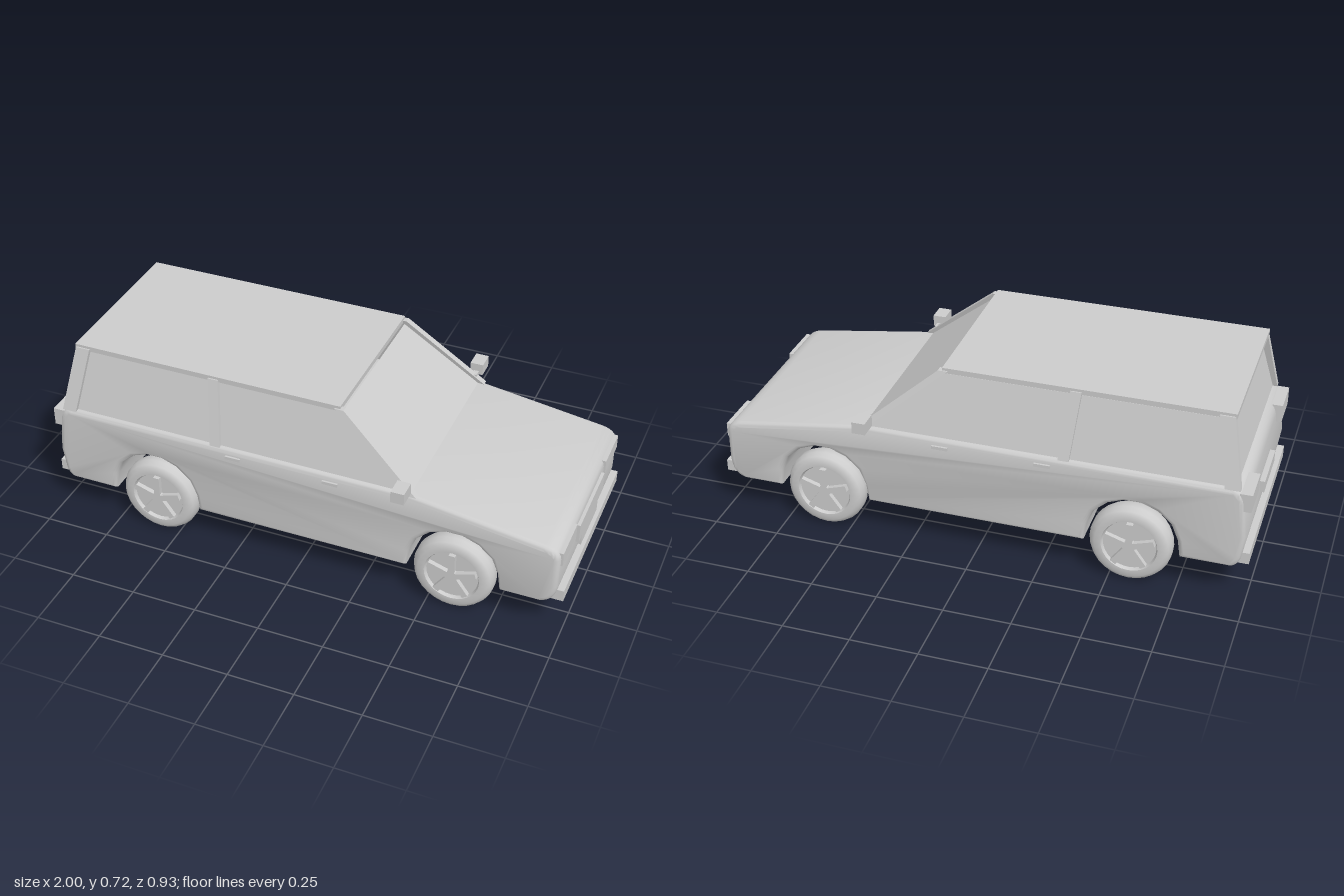
import * as THREE from 'three';
import { toCreasedNormals } from 'three/addons/utils/BufferGeometryUtils.js';

const grey = new THREE.MeshStandardMaterial({ color: 0xcccccc });
grey.name = 'light grey';
grey.side = THREE.DoubleSide;

function add(parent, name, geometry) {
  const mesh = new THREE.Mesh(geometry, grey);
  mesh.name = name;
  parent.add(mesh);
  return mesh;
}

// Box given by its min and max on each axis
function block(parent, name, [x0, x1], [y0, y1], [z0, z1]) {
  const mesh = add(parent, name, new THREE.BoxGeometry(x1 - x0, y1 - y0, z1 - z0));
  mesh.position.set((x0 + x1) / 2, (y0 + y1) / 2, (z0 + z1) / 2);
  return mesh;
}

// Sheared post from a lower to an upper point, with level ends
function pillar(parent, name, low, high, w, d) {
  const g = new THREE.BoxGeometry(w, 1, d);
  const p = g.attributes.position;
  for (let i = 0; i < p.count; i++) {
    const end = p.getY(i) > 0 ? high : low;
    p.setXYZ(i, p.getX(i) + end[0], end[1], p.getZ(i) + end[2]);
  }
  g.computeVertexNormals();
  return add(parent, name, g);
}

// Side profile with wheel arches, extruded across the width
function bodyGeometry() {
  const s = new THREE.Shape();
  const arch = (cx) => {
    for (const [x, y] of [[0.175, 0.14], [0.165, 0.21], [0.14, 0.27], [0.09, 0.315], [0.03, 0.338],
      [-0.03, 0.338], [-0.09, 0.315], [-0.14, 0.27], [-0.165, 0.21], [-0.175, 0.14]]) s.lineTo(cx + x, y);
  };
  s.moveTo(-0.94, 0.14);
  s.quadraticCurveTo(-0.97, 0.15, -0.975, 0.2);
  s.lineTo(-0.985, 0.27);
  s.lineTo(-0.972, 0.41);
  s.quadraticCurveTo(-0.965, 0.46, -0.92, 0.464);
  s.lineTo(0.43, 0.462);
  s.lineTo(0.92, 0.39);
  s.quadraticCurveTo(0.975, 0.38, 0.978, 0.34);
  s.lineTo(0.978, 0.22);
  s.quadraticCurveTo(0.972, 0.15, 0.92, 0.14);
  arch(0.595);
  arch(-0.58);
  s.closePath();
  const bevel = 0.02;
  const g = new THREE.ExtrudeGeometry(s, {
    depth: 0.78 - 2 * bevel, bevelThickness: bevel, bevelSize: bevel, bevelOffset: -bevel,
    bevelSegments: 4, curveSegments: 6,
  });
  g.translate(0, 0, -0.39 + bevel);
  return toCreasedNormals(g, 0.6);
}

// Four sloping panes between two rectangles
function glassGeometry() {
  const ring = (x0, x1, y, z) => [[x0, y, z], [x1, y, z], [x1, y, -z], [x0, y, -z]];
  const low = ring(-0.935, 0.43, 0.46, 0.372);
  const high = ring(-0.88, 0.145, 0.695, 0.313);
  const v = [];
  for (let i = 0; i < 4; i++) {
    const j = (i + 1) % 4;
    v.push(...low[i], ...low[j], ...high[j], ...low[i], ...high[j], ...high[i]);
  }
  const g = new THREE.BufferGeometry();
  g.setAttribute('position', new THREE.Float32BufferAttribute(v, 3));
  g.computeVertexNormals();
  return g;
}

// Tyre with sunken rim and five spokes on both faces
function makeWheel() {
  const wheel = new THREE.Group();
  const profile = [[0, -0.032], [0.098, -0.032], [0.104, -0.044], [0.128, -0.045], [0.143, -0.035],
    [0.152, -0.015], [0.152, 0.015], [0.143, 0.035], [0.128, 0.045], [0.104, 0.044], [0.098, 0.032], [0, 0.032]];
  const tyre = new THREE.LatheGeometry(profile.map(([r, h]) => new THREE.Vector2(r, h)), 28);
  tyre.rotateX(Math.PI / 2);
  add(wheel, 'tyre', toCreasedNormals(tyre, 0.7));
  const hub = new THREE.CylinderGeometry(0.024, 0.024, 0.1, 12);
  hub.rotateX(Math.PI / 2);
  add(wheel, 'hub', hub);
  for (let i = 0; i < 5; i++) {
    const spoke = new THREE.BoxGeometry(0.024, 0.084, 0.1);
    spoke.translate(0, 0.053, 0);
    spoke.rotateZ(i * Math.PI * 0.4);
    add(wheel, 'spoke', spoke);
  }
  return wheel;
}

export function createModel() {
  const car = new THREE.Group();
  car.name = 'estateCar';

  add(car, 'body', bodyGeometry());
  add(car, 'windows', glassGeometry());
  block(car, 'roof', [-0.91, 0.14], [0.7, 0.72], [-0.32, 0.32]);

  // Nose and tail details
  block(car, 'frontBumper', [0.95, 1], [0.155, 0.2], [-0.37, 0.37]);
  block(car, 'rearBumper', [-1, -0.95], [0.155, 0.2], [-0.37, 0.37]);
  block(car, 'grille', [0.97, 0.99], [0.26, 0.335], [-0.165, 0.165]);
  block(car, 'frontPlate', [0.97, 0.987], [0.205, 0.25], [-0.108, 0.108]);
  block(car, 'rearPlate', [-0.998, -0.97], [0.29, 0.335], [-0.11, 0.11]);

  for (const s of [1, -1]) {
    const span = (a, b) => (s > 0 ? [a, b] : [-b, -a]);

    // Pillars
    pillar(car, 'frontPillar', [0.435, 0.46, s * 0.378], [0.137, 0.71, s * 0.313], 0.035, 0.025);
    pillar(car, 'middlePillar', [-0.325, 0.46, s * 0.375], [-0.35, 0.71, s * 0.315], 0.04, 0.02);
    pillar(car, 'rearPillar', [-0.925, 0.46, s * 0.375], [-0.878, 0.71, s * 0.313], 0.055, 0.025);

    // Lamps, mirrors and handles
    block(car, 'headlight', [0.95, 0.985], [0.31, 0.365], span(0.195, 0.37));
    block(car, 'tailLight', [-0.995, -0.95], [0.38, 0.45], span(0.24, 0.385));
    block(car, 'mirror', [0.385, 0.435], [0.48, 0.525], span(0.395, 0.465));
    block(car, 'mirrorArm', [0.4, 0.42], [0.48, 0.495], span(0.365, 0.4));
    for (const x of [-0.25, 0.13]) block(car, 'doorHandle', [x - 0.03, x + 0.03], [0.426, 0.438], span(0.38, 0.398));

    // Wheels
    for (const x of [-0.575, 0.595]) {
      const wheel = makeWheel();
      wheel.name = x > 0 ? 'frontWheel' : 'rearWheel';
      wheel.position.set(x, 0.152, s * 0.345);
      car.add(wheel);
    }
  }
  return car;
}
